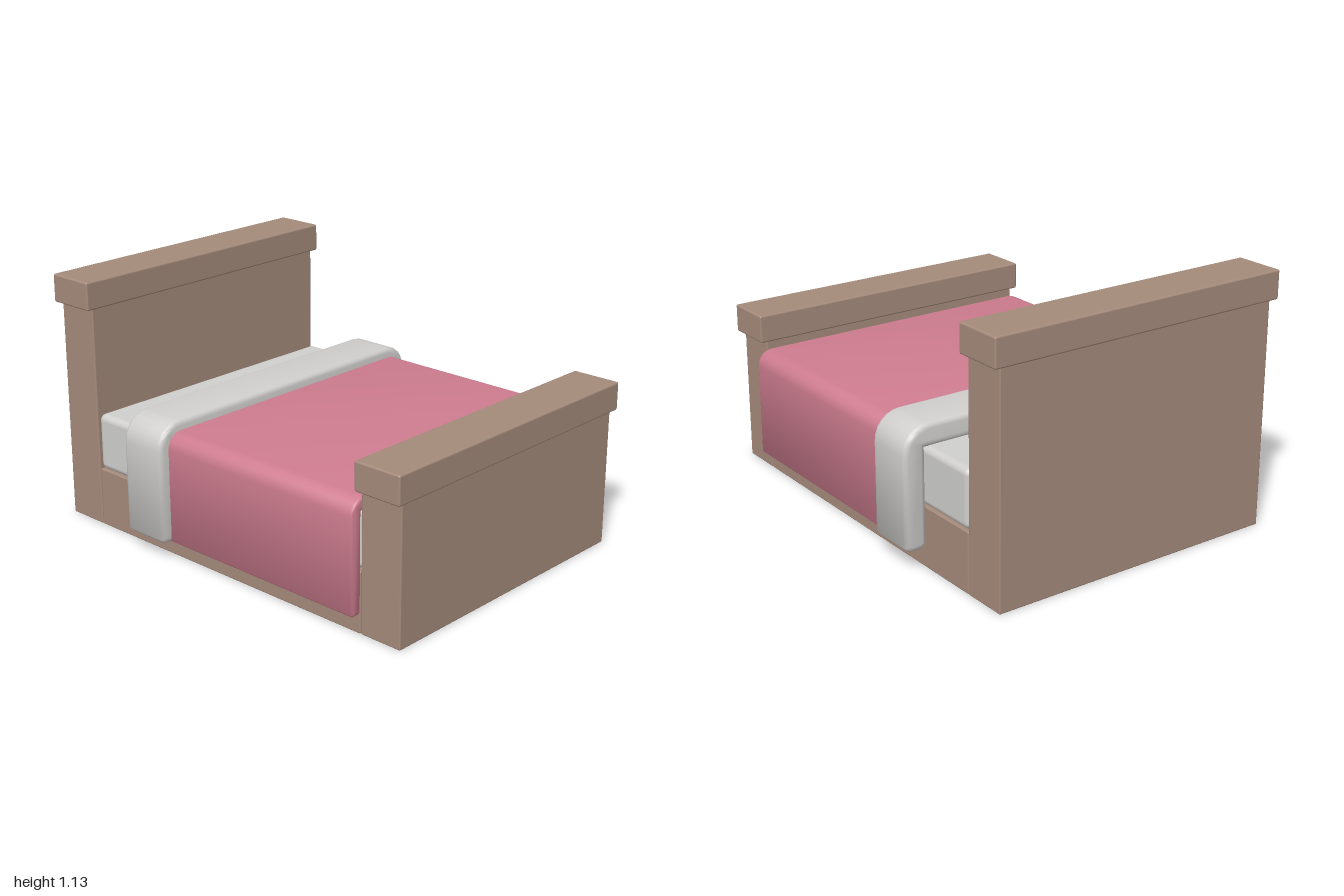
import * as THREE from 'three';
import { toCreasedNormals } from 'three/addons/utils/BufferGeometryUtils.js';
import { RoundedBoxGeometry } from 'three/addons/geometries/RoundedBoxGeometry.js';

const wood = new THREE.MeshStandardMaterial({ name: 'brown wood', color: 0xa58b7b });
const linen = new THREE.MeshStandardMaterial({ name: 'pale linen', color: 0xd0cfcd });
const cover = new THREE.MeshStandardMaterial({ name: 'pink cover', color: 0xcf7d90 });

// Soft-edged block given by half width, y range and z range
function block(name, material, halfWidth, y0, y1, z0, z1, radius) {
  const geometry = new RoundedBoxGeometry(halfWidth * 2, y1 - y0, z1 - z0, 3, radius);
  const mesh = new THREE.Mesh(geometry, material);
  mesh.name = name;
  mesh.position.set(0, (y0 + y1) / 2, (z0 + z1) / 2);
  return mesh;
}

// Cloth draped over the mattress: an upside-down U extruded along z
function drape(name, material, inner, outer, bottom, under, top, corner, hem, z0, z1, bevel) {
  const shape = new THREE.Shape();
  shape.moveTo(outer - hem, bottom);
  shape.lineTo(outer, bottom + hem);
  shape.lineTo(outer, top - corner);
  shape.absarc(outer - corner, top - corner, corner, 0, Math.PI / 2, false);
  shape.lineTo(-outer + corner, top);
  shape.absarc(-outer + corner, top - corner, corner, Math.PI / 2, Math.PI, false);
  shape.lineTo(-outer, bottom + hem);
  shape.lineTo(-outer + hem, bottom);
  shape.lineTo(-inner - hem, bottom);
  shape.lineTo(-inner, bottom + hem);
  shape.lineTo(-inner, under);
  shape.lineTo(inner, under);
  shape.lineTo(inner, bottom + hem);
  shape.lineTo(inner + hem, bottom);
  shape.closePath();
  const geometry = new THREE.ExtrudeGeometry(shape, {
    depth: z1 - z0 - bevel * 2, curveSegments: 3,
    bevelThickness: bevel, bevelSize: bevel, bevelOffset: -bevel, bevelSegments: 3,
  });
  geometry.translate(0, 0, z0 + bevel);
  const mesh = new THREE.Mesh(toCreasedNormals(geometry, 0.85), material);
  mesh.name = name;
  return mesh;
}

export function createModel() {
  const bed = new THREE.Group();
  bed.name = 'bed';

  // Wooden frame
  bed.add(
    block('base', wood, 0.685, 0, 0.27, -0.78, 0.78, 0.006),
    block('headboard', wood, 0.685, 0, 1.02, -0.985, -0.783, 0.006),
    block('headboardCap', wood, 0.718, 1.008, 1.135, -1, -0.772, 0.008),
    block('footboard', wood, 0.685, 0, 0.63, 0.783, 0.985, 0.006),
    block('footboardCap', wood, 0.718, 0.615, 0.742, 0.772, 1, 0.008),
  );

  // Mattress and bedding
  bed.add(
    block('mattress', linen, 0.685, 0.27, 0.53, -0.78, 0.775, 0.03),
    drape('blanket', cover, 0.683, 0.737, 0.087, 0.525, 0.582, 0.07, 0.01, -0.3, 0.782, 0.012),
    drape('foldedSheet', linen, 0.683, 0.784, 0.087, 0.525, 0.627, 0.12, 0.02, -0.492, -0.258, 0.022),
  );
  return bed;
}
